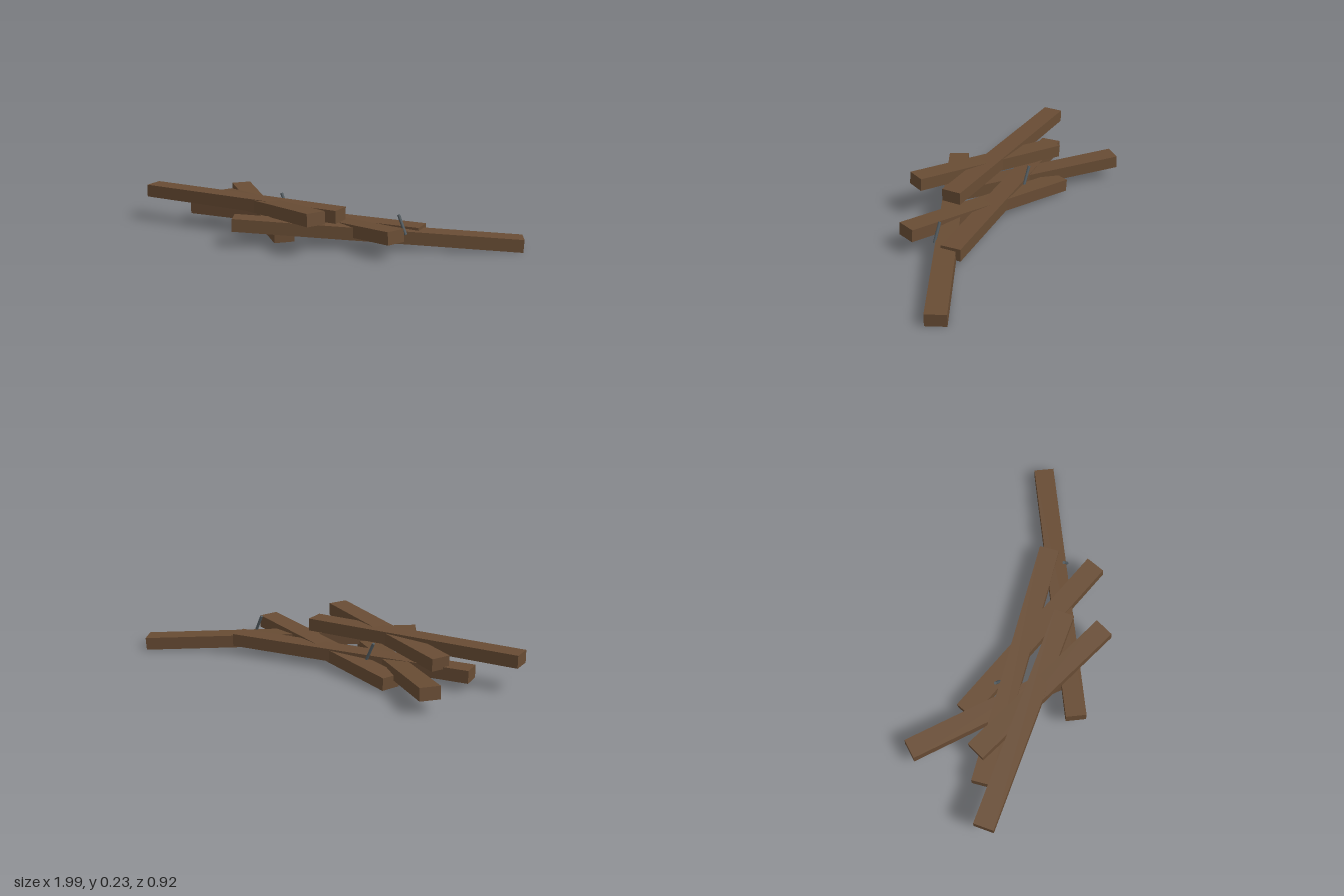
import * as THREE from 'three';

const WIDTH = 0.107, HEIGHT = 0.067, NAIL_RADIUS = 0.008;

export function createModel() {
  const group = new THREE.Group();
  const wood = new THREE.MeshStandardMaterial({ color: 0x684c34 });
  wood.name = 'brown wood';
  const iron = new THREE.MeshStandardMaterial({ color: 0x525b60 });
  iron.name = 'dark iron';

  // A plank runs between the centres of its two end faces, kept upright
  function plank(name, start, end) {
    const a = new THREE.Vector3(...start), b = new THREE.Vector3(...end);
    const along = b.clone().sub(a);
    const mesh = new THREE.Mesh(new THREE.BoxGeometry(along.length(), HEIGHT, WIDTH), wood);
    along.normalize();
    const side = new THREE.Vector3().crossVectors(along, new THREE.Vector3(0, 1, 0)).normalize();
    const up = new THREE.Vector3().crossVectors(side, along);
    mesh.quaternion.setFromRotationMatrix(new THREE.Matrix4().makeBasis(along, up, side));
    mesh.position.copy(a).add(b).multiplyScalar(0.5);
    mesh.name = name;
    group.add(mesh);
  }

  // A nail is a thin leaning rod from its top to its tip
  function nail(name, top, tip) {
    const a = new THREE.Vector3(...top), b = new THREE.Vector3(...tip);
    const along = a.clone().sub(b);
    const mesh = new THREE.Mesh(
      new THREE.CylinderGeometry(NAIL_RADIUS, NAIL_RADIUS, along.length(), 8), iron);
    mesh.quaternion.setFromUnitVectors(new THREE.Vector3(0, 1, 0), along.normalize());
    mesh.position.copy(a).add(b).multiplyScalar(0.5);
    mesh.name = name;
    group.add(mesh);
  }

  // Planks lying on the ground
  plank('longBottomPlank', [-0.26, 0.122, 0.413], [0.965, 0.038, -0.415]);
  plank('backBottomPlank', [-0.81, 0.107, -0.262], [-0.045, 0.053, 0.26]);
  plank('tiltedBottomPlank', [-0.483, 0.046, -0.121], [0.548, 0.118, 0.117]);

  // Planks piled across them
  plank('middlePlank', [-0.785, 0.083, 0.145], [0.528, 0.083, -0.153]);
  plank('frontTopPlank', [-0.99, 0.172, 0.272], [0.2, 0.172, 0.105]);
  plank('raisedTopPlank', [-0.664, 0.139, 0.046], [0.217, 0.2, 0.33]);

  // Bent nails left in the wood
  nail('leftNail', [0.461, 0.188, -0.033], [0.507, 0.09, -0.033]);
  nail('rightNail', [-0.307, 0.189, -0.033], [-0.261, 0.091, -0.033]);

  return group;
}
